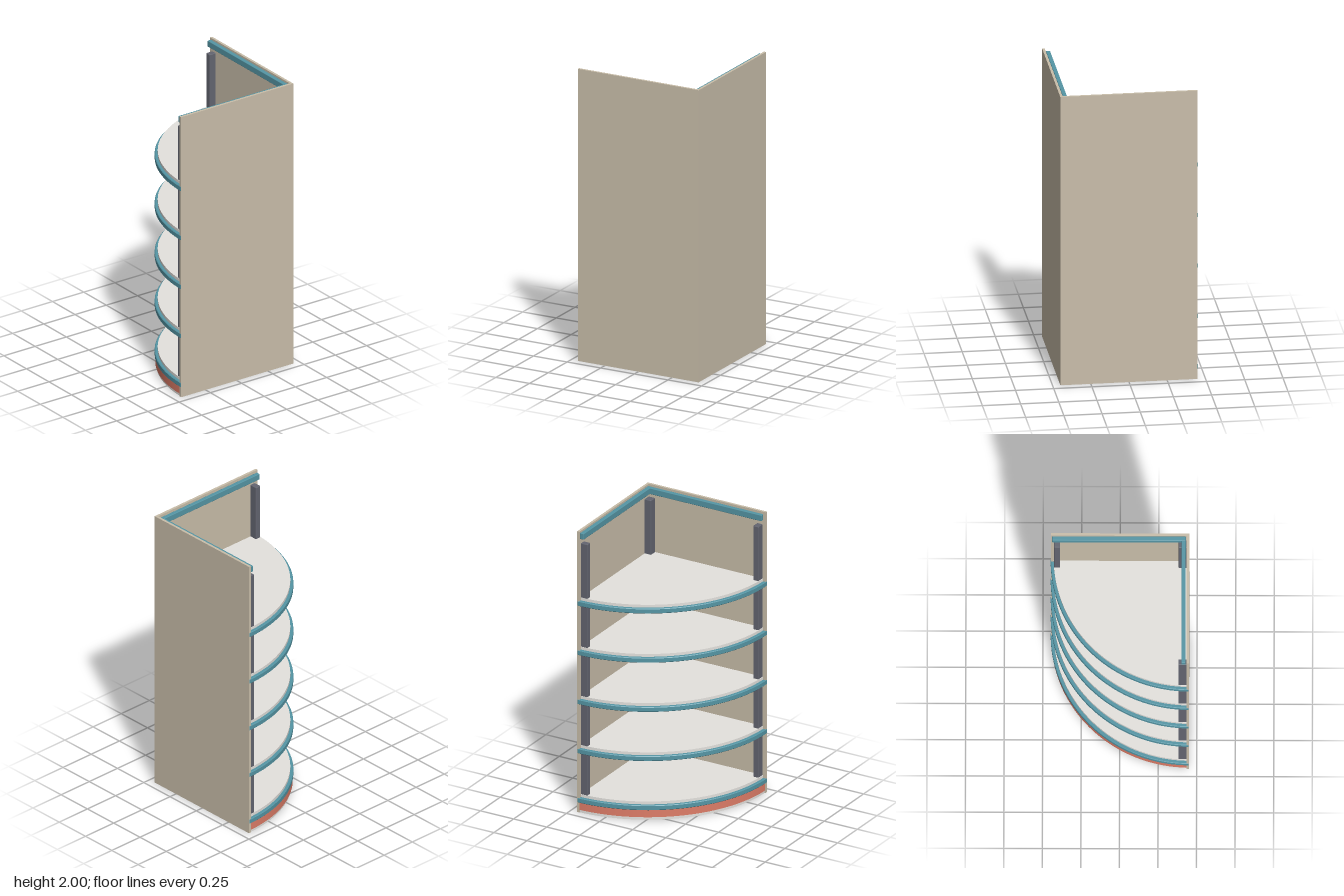
import * as THREE from 'three';
import { toCreasedNormals } from 'three/addons/utils/BufferGeometryUtils.js';
import { RoundedBoxGeometry } from 'three/addons/geometries/RoundedBoxGeometry.js';

const C = 0.45; // back corner is at x = C, z = -C

const material = (name, color) => {
  const m = new THREE.MeshStandardMaterial({ color });
  m.name = name;
  return m;
};

// Extrudes a plan shape upwards from y0 to y1, with an optional chamfer
function slab(shape, y0, y1, bevel = 0) {
  const g = new THREE.ExtrudeGeometry(shape, {
    depth: y1 - y0 - 2 * bevel, curveSegments: 48, bevelEnabled: bevel > 0,
    bevelSize: bevel, bevelThickness: bevel, bevelOffset: -bevel, bevelSegments: 1,
  });
  g.rotateX(-Math.PI / 2);
  g.translate(0, y0 + bevel, 0);
  return toCreasedNormals(g, 0.5);
}

// Quarter disc round the back corner, straight sides moved inwards by inset
function sector(r, inset) {
  const d = Math.asin(inset / r);
  const s = new THREE.Shape();
  s.moveTo(C - inset, C - inset);
  s.lineTo(C - r * Math.cos(d), C - inset);
  s.absarc(C, C, r, Math.PI + d, Math.PI * 1.5 - d, false);
  s.closePath();
  return s;
}

// Quarter ring for edge trims
function ring(rIn, rOut, inset) {
  const d = Math.asin(inset / rOut);
  const s = new THREE.Shape();
  s.absarc(C, C, rOut, Math.PI + d, Math.PI * 1.5 - d, false);
  s.absarc(C, C, rIn, Math.PI * 1.5 - d, Math.PI + d, true);
  s.closePath();
  return s;
}

export function createModel() {
  const group = new THREE.Group();
  const panel = material('beige panel', 0xc9beaa);
  const board = material('light grey board', 0xe4e2de);
  const trim = material('teal trim', 0x5596a5);
  const post = material('dark grey post', 0x636570);
  const kick = material('coral plinth', 0xde7d68);

  const add = (name, geometry, mat) => {
    const m = new THREE.Mesh(geometry, mat);
    m.name = name;
    group.add(m);
  };
  const box = (name, mat, x0, x1, y0, y1, z0, z1, radius = 0) => {
    const size = [x1 - x0, y1 - y0, z1 - z0];
    const g = radius ? new RoundedBoxGeometry(...size, 2, radius) : new THREE.BoxGeometry(...size);
    g.translate((x0 + x1) / 2, (y0 + y1) / 2, (z0 + z1) / 2);
    add(name, g, mat);
  };

  // Two wall panels meeting at the back corner
  box('backPanel', panel, -0.448, C, 0.002, 2, -C, -0.433);
  box('sidePanel', panel, 0.433, C, 0.002, 2, -0.433, 0.448);

  // Rails along the top of the walls
  box('backTopRail', trim, -0.44, 0.427, 1.945, 1.988, -0.434, -0.405, 0.004);
  box('sideTopRail', trim, 0.4, 0.427, 1.945, 1.988, -0.407, 0.436, 0.004);

  // Upright posts
  box('leftPost', post, -0.427, -0.388, 0.1, 1.91, -0.437, -0.385, 0.004);
  box('cornerPost', post, 0.381, 0.437, 0.1, 1.91, -0.437, -0.385, 0.004);
  box('frontPost', post, 0.381, 0.437, 0.1, 1.91, 0.385, 0.425, 0.004);

  // Plinth with a coloured band
  add('base', slab(sector(0.89, 0.002), 0, 0.1), board);
  add('plinthBand', slab(ring(0.88, 0.896, 0.017), 0.02, 0.072), kick);

  // Curved shelves with edge trims
  for (let i = 0; i < 5; i++) {
    const y = 0.125 + i * 0.35;
    add('shelf', slab(sector(0.88, 0.01), y - 0.05, y), board);
    add('shelfTrim', slab(ring(0.875, 0.9, 0.003), y - 0.055, y - 0.02, 0.004), trim);
  }

  return group;
}
